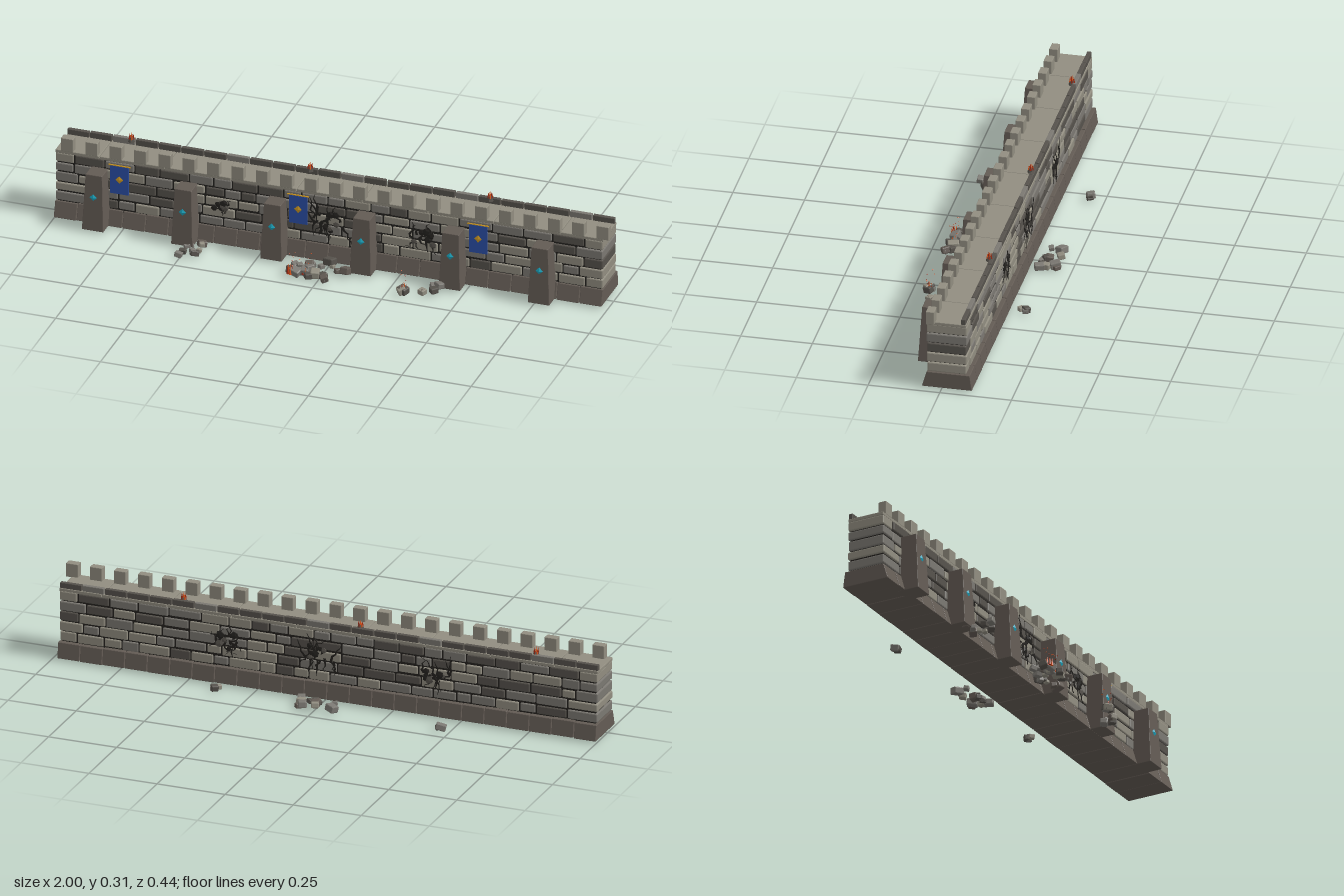
import * as THREE from 'three';
import { RoundedBoxGeometry } from 'three/addons/geometries/RoundedBoxGeometry.js';

const makeMaterial = (name, color, extra = {}) =>
  new THREE.MeshStandardMaterial({ name, color, flatShading: true, ...extra });

const M = {
  light: makeMaterial('paleStone', 0x918d80),
  mid: makeMaterial('greyStone', 0x7b7872),
  dark: makeMaterial('darkStone', 0x56524c),
  base: makeMaterial('footingStone', 0x635b54),
  black: makeMaterial('charredMortar', 0x24221f, { side: THREE.DoubleSide }),
  blue: makeMaterial('bannerBlue', 0x2c50a8),
  gold: makeMaterial('gold', 0xd09a24),
  cyan: makeMaterial('gemCyan', 0x1ba6c0),
  orange: makeMaterial('flameOrange', 0xe2561c),
  red: makeMaterial('emberRed', 0x9c2a14),
};

// Seeded random numbers
let seed = 7;
const rnd = (a = 0, b = 1) => {
  seed = (seed * 16807) % 2147483647;
  return a + (b - a) * (seed / 2147483647);
};

function add(parent, name, geometry, material, x = 0, y = 0, z = 0) {
  const mesh = new THREE.Mesh(geometry, material);
  mesh.name = name;
  mesh.position.set(x, y, z);
  parent.add(mesh);
  return mesh;
}

function part(parent, name) {
  const g = new THREE.Group();
  g.name = name;
  parent.add(g);
  return g;
}

const block = (w, h, d, r = 0.003) => new RoundedBoxGeometry(w, h, d, 1, r);

// Box whose top is narrower: x scaled by sx, front and back z moved inward
function taperedBlock(w, h, d, sx, front, back) {
  const g = block(w, h, d, 0.002);
  const p = g.attributes.position;
  for (let i = 0; i < p.count; i++) {
    const t = p.getY(i) / h + 0.5;
    const z = p.getZ(i);
    p.setX(i, p.getX(i) * (1 - t * (1 - sx)));
    p.setZ(i, z > 0 ? z - front * t : z + back * t);
  }
  g.computeVertexNormals();
  return g;
}

const LEFT = -1, RIGHT = 0.98, MIDX = -0.01, MIDZ = -0.019;

function buildWall(root) {
  add(root, 'mortarCore', new THREE.BoxGeometry(1.96, 0.225, 0.128), M.black, MIDX, 0.137, MIDZ);

  // Sloping footing stones
  const footing = part(root, 'footing');
  const n = 24, w = (RIGHT - LEFT) / n;
  for (let i = 0; i < n; i++)
    add(footing, 'footingStone', taperedBlock(w - 0.002, 0.057, 0.175, 1, 0.017, 0.008), M.base,
      LEFT + (i + 0.5) * w, 0.0375 + rnd(-0.001, 0.001), -0.02);

  // Five courses of uneven through-stones
  const courses = part(root, 'stoneCourses');
  const endColours = [M.light, M.light, M.dark, M.mid, M.light];
  const palette = [M.light, M.mid, M.mid, M.dark, M.mid, M.dark, M.light];
  endColours.forEach((endColour, row) => {
    const y = 0.085 + row * 0.0372;
    let x = LEFT;
    while (x < RIGHT - 0.001) {
      let len = rnd(0.05, 0.12);
      if (RIGHT - x - len < 0.05) len = RIGHT - x;
      const last = x + len > RIGHT - 0.002;
      const h = last ? 0.034 : rnd(0.028, 0.035);
      add(courses, 'wallStone', block(len - 0.005, h, rnd(0.135, 0.142), 0.004),
        last ? endColour : palette[Math.floor(rnd(0, 6.99))], x + len / 2, y + rnd(-0.001, 0.001), MIDZ);
      x += len;
    }
  });

  // Walkway slabs
  const walkway = part(root, 'walkway');
  const joints = [LEFT, -0.84, -0.604, -0.365, -0.128, 0.109, 0.347, 0.584, 0.824, RIGHT];
  for (let i = 0; i < joints.length - 1; i++)
    add(walkway, 'walkwaySlab', block(joints[i + 1] - joints[i] - 0.002, 0.012, 0.136, 0.002), M.light,
      (joints[i] + joints[i + 1]) / 2, 0.2545, MIDZ);

  // Front battlement and low rear kerb
  const battlement = part(root, 'battlement');
  for (let i = 0; i < 23; i++)
    add(battlement, 'merlon', block(0.044, 0.05, 0.029, 0.002), M.light, -0.957 + i * 0.0879, 0.283, 0.035);
  const kerb = part(root, 'rearKerb');
  for (let i = 0; i < n; i++)
    add(kerb, 'kerbStone', block(w - 0.004, rnd(0.022, 0.027), 0.015, 0.002), i % 5 === 2 ? M.mid : M.dark,
      LEFT + (i + 0.5) * w, 0.269, -0.077);
}

function buildButtresses(root) {
  for (let i = 0; i < 6; i++) {
    const b = part(root, 'buttress');
    b.position.x = -0.84 + i * 0.322;
    add(b, 'buttressBody', taperedBlock(0.078, 0.207, 0.08, 0.77, 0.013, 0), M.base, 0, 0.1125, 0.079);
    const gem = add(b, 'buttressGem', new THREE.OctahedronGeometry(0.014), M.cyan, 0, 0.132, 0.111);
    gem.scale.z = 0.35;
  }
}

function buildBanners(root) {
  for (const x of [-0.765, -0.12, 0.53]) {
    const b = part(root, 'banner');
    b.position.set(x, 0, 0.055);
    add(b, 'bannerCloth', new THREE.BoxGeometry(0.066, 0.105, 0.004), M.blue, 0, 0.185, 0);
    const rod = add(b, 'bannerRod', new THREE.CylinderGeometry(0.0025, 0.0025, 0.078, 6), M.gold, 0, 0.24, 0);
    rod.rotation.z = Math.PI / 2;
    const emblem = add(b, 'bannerEmblem', new THREE.OctahedronGeometry(0.014), M.gold, 0, 0.187, 0.002);
    emblem.scale.z = 0.2;
  }
}

// Cluster of narrow cone flames
function flames(parent, x, y, z, height, spread) {
  for (let i = 0; i < 6; i++) {
    const a = (i / 5) * Math.PI * 2, r = i === 5 ? 0 : spread;
    const h = height * (i === 5 ? 1 : rnd(0.6, 0.95));
    add(parent, 'flame', new THREE.ConeGeometry(spread * 0.55, h, 5), i % 2 ? M.orange : M.red,
      x + Math.cos(a) * r, y + h / 2, z + Math.sin(a) * r);
  }
}

function buildFires(root) {
  // Fire bowls on the rear kerb
  for (const x of [-0.765, -0.12, 0.53]) {
    const bowl = part(root, 'fireBowl');
    add(bowl, 'bowl', new THREE.CylinderGeometry(0.008, 0.013, 0.016, 6), M.dark, x, 0.281, -0.069);
    flames(bowl, x, 0.283, -0.069, 0.026, 0.007);
  }
  // Ground fires with rising sparks
  for (const [x, z] of [[-0.1, 0.193], [-0.05, 0.18], [0.312, 0.19]]) {
    const fire = part(root, 'groundFire');
    flames(fire, x, 0.012, z, x === -0.05 ? 0.025 : 0.036, 0.009);
    for (let i = 0; i < 5; i++)
      add(fire, 'spark', new THREE.OctahedronGeometry(0.0025), i % 2 ? M.red : M.orange,
        x + rnd(-0.018, 0.018), 0.05 + i * 0.009, z + rnd(-0.018, 0.014));
  }
}

// Jagged tapering ribbon from a start point along an angle
function crackShape(x, y, angle, length, width) {
  const left = [], right = [];
  const steps = 5, nx = -Math.sin(angle), ny = Math.cos(angle);
  for (let i = 0; i <= steps; i++) {
    const t = i / steps, off = i ? rnd(-0.009, 0.009) : 0, w = width * (1 - t * 0.85) / 2;
    const px = x + Math.cos(angle) * length * t + nx * off;
    const py = y + Math.sin(angle) * length * t + ny * off;
    left.push(new THREE.Vector2(px + nx * w, py + ny * w));
    right.unshift(new THREE.Vector2(px - nx * w, py - ny * w));
  }
  return new THREE.Shape([...left, ...right]);
}

function buildDamage(root) {
  const spots = [
    [-0.4, 0.153, 0.054, 0.04, 5], [-0.01, 0.16, 0.054, 0.085, 14], [0.33, 0.16, 0.054, 0.065, 11],
    [-0.41, 0.155, -0.092, 0.07, 12], [0.02, 0.16, -0.092, 0.08, 14], [0.36, 0.16, -0.092, 0.065, 11],
  ];
  for (const [x, y, z, size, count] of spots) {
    const d = part(root, 'wallDamage');
    d.position.set(x, y, z);
    const shapes = [];
    for (let i = 0; i < count; i++) {
      const angle = (i % 2 ? 1 : -1) * Math.PI / 2 + rnd(-0.7, 0.7);
      shapes.push(crackShape(rnd(-0.7, 0.7) * size, rnd(-0.2, 0.2) * size, angle, size * rnd(0.6, 0.95), 0.009));
    }
    add(d, 'cracks', new THREE.ExtrudeGeometry(shapes, { depth: 0.002, bevelEnabled: false }), M.black, 0, 0, -0.001);
    // Charred broken stones around the impact
    for (let i = 0; i < 6; i++) {
      const chip = add(d, 'charredChip', new THREE.DodecahedronGeometry(rnd(0.009, 0.016)), i % 3 ? M.black : M.dark,
        rnd(-0.6, 0.6) * size, rnd(-0.45, 0.45) * size, 0);
      chip.rotation.z = rnd(0, 3);
      chip.scale.z = 0.3;
    }
  }
}

function buildRubble(root) {
  // Heaps: x range, z range, number of stones
  const heaps = [
    [-0.53, -0.43, 0.09, 0.195, 10], [-0.11, 0.08, 0.085, 0.2, 20], [0.36, 0.42, 0.09, 0.19, 5],
    [0.3, 0.32, 0.18, 0.195, 3], [-0.07, 0.07, -0.2, -0.125, 12], [0.36, 0.385, -0.175, -0.14, 3],
    [-0.475, -0.46, -0.205, -0.195, 2],
  ];
  const colours = [M.mid, M.dark, M.light, M.mid, M.base];
  for (const [x0, x1, z0, z1, count] of heaps) {
    const heap = part(root, 'rubbleHeap');
    for (let i = 0; i < count; i++) {
      const s = rnd(0.014, 0.032);
      const stone = add(heap, 'rubbleStone', block(s * rnd(0.9, 1.3), s * 0.8, s, s * 0.12), colours[i % 5],
        rnd(x0, x1), s * 0.55 + (i % 4 === 3 ? 0.012 : 0.002), rnd(z0, z1));
      stone.rotation.set(rnd(-0.25, 0.25), rnd(0, 3), rnd(-0.25, 0.25));
    }
  }
}

export function createModel() {
  const root = new THREE.Group();
  root.name = 'battlementWall';
  buildWall(root);
  buildButtresses(root);
  buildBanners(root);
  buildFires(root);
  buildDamage(root);
  buildRubble(root);
  return root;
}
